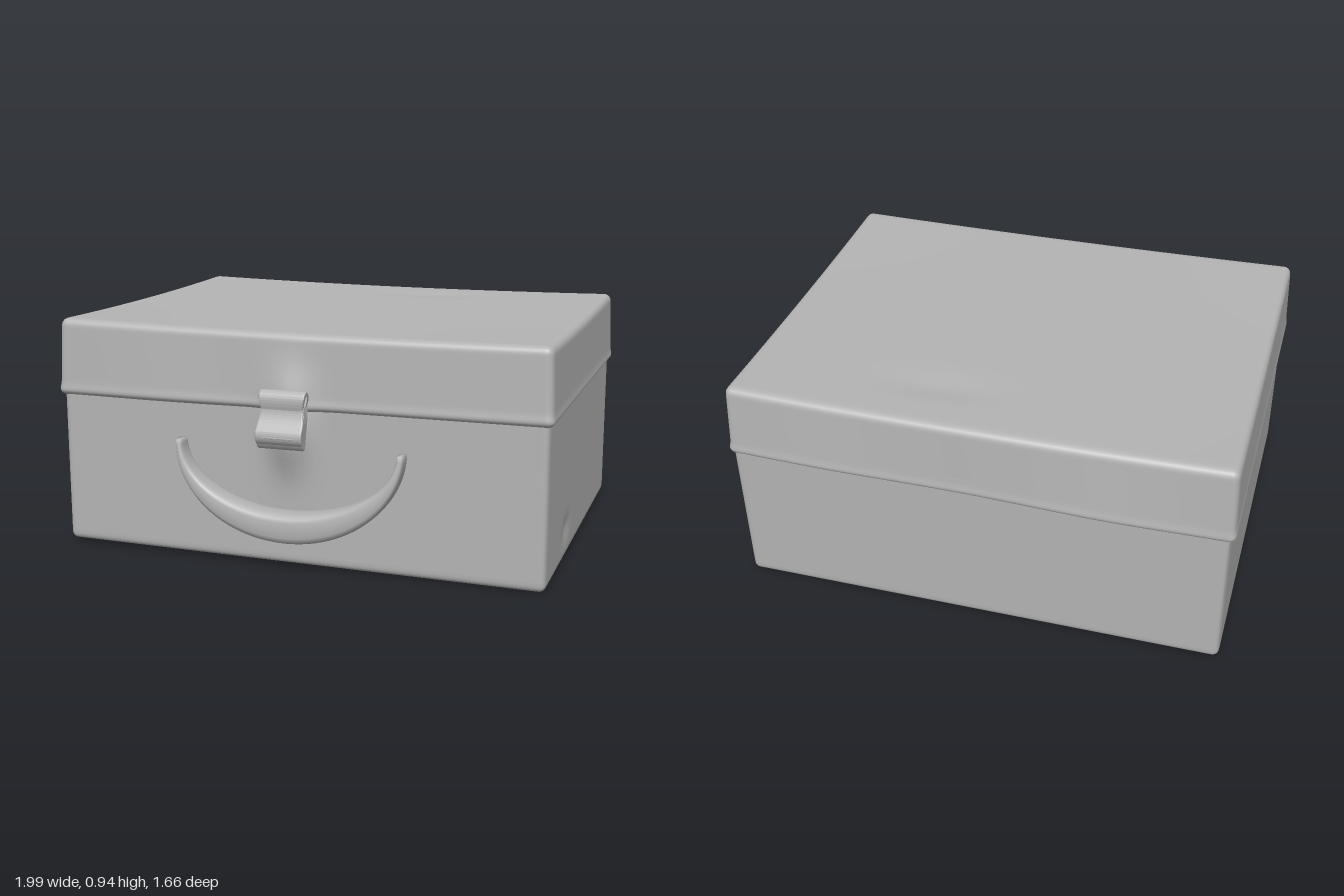
import * as THREE from 'three';
import { mergeVertices } from 'three/addons/utils/BufferGeometryUtils.js';

const grey = new THREE.MeshStandardMaterial({ color: 0xb4b4b4 });
grey.name = 'plain grey';

const bell = (v, centre, width) => Math.exp(-(((v - centre) / width) ** 2));

function addMesh(group, name, geometry) {
  const mesh = new THREE.Mesh(geometry, grey);
  mesh.name = name;
  group.add(mesh);
}

// Rounded box between two corners, dense near its edges, then bent by a rule
function softBox(min, max, r, bend) {
  const size = max.clone().sub(min);
  const mid = max.clone().add(min).multiplyScalar(0.5);
  const inner = size.clone().multiplyScalar(0.5).subScalar(r);
  let g = new THREE.BoxGeometry(2, 2, 2, 96, 32, 40);
  g.deleteAttribute('uv');
  g.deleteAttribute('normal');
  g = mergeVertices(g, 1e-5);
  const pos = g.attributes.position;
  const p = new THREE.Vector3();
  const core = new THREE.Vector3();
  for (let i = 0; i < pos.count; i++) {
    p.fromBufferAttribute(pos, i);
    p.set(...p.toArray().map((v) => Math.sin((v * Math.PI) / 2)));
    p.multiply(size).multiplyScalar(0.5);
    core.copy(p).clamp(inner.clone().negate(), inner);
    p.sub(core).setLength(r).add(core).add(mid);
    bend(p);
    pos.setXYZ(i, p.x, p.y, p.z);
  }
  g.computeVertexNormals();
  return g;
}

// Crescent handle: rounded sections swept along a half ellipse
function handleGeometry() {
  const steps = 48, around = 20, verts = [], index = [];
  const soft = (v) => Math.sign(v) * Math.abs(v) ** 0.6;
  for (let i = 0; i <= steps + 2; i++) {
    const t = (Math.PI * Math.min(Math.max(i - 1, 0), steps)) / steps;
    const closed = i === 0 || i === steps + 2 ? 0 : 1;
    const c = Math.cos(t), s = Math.sin(t);
    const back = 0.7, front = 0.77 + 0.05 * s;
    for (let j = 0; j < around; j++) {
      const a = (2 * Math.PI * j) / around;
      const k = closed * soft(Math.cos(a)), d = closed * soft(Math.sin(a));
      verts.push(
        (0.445 + 0.014 * k) * c - 0.005,
        0.49 - (0.31 + 0.06 * k) * s,
        (back + front) / 2 + ((front - back) / 2) * d
      );
      if (i < steps + 2) {
        const n = (j + 1) % around, o = i * around, q = o + around;
        index.push(o + j, o + n, q + j, o + n, q + n, q + j);
      }
    }
  }
  const g = new THREE.BufferGeometry();
  g.setAttribute('position', new THREE.Float32BufferAttribute(verts, 3));
  g.setIndex(index);
  g.computeVertexNormals();
  return g;
}

// Clasp: side profile with a loop at the top and a flap kicking outwards
function claspGeometry() {
  const half = 0.092;
  const shape = new THREE.Shape();
  shape.moveTo(0.785, 0.5);
  shape.quadraticCurveTo(0.765, 0.55, 0.752, 0.6);
  shape.quadraticCurveTo(0.73, 0.63, 0.735, 0.67);
  shape.quadraticCurveTo(0.745, 0.71, 0.768, 0.706);
  shape.quadraticCurveTo(0.8, 0.695, 0.785, 0.64);
  shape.quadraticCurveTo(0.79, 0.6, 0.825, 0.56);
  shape.quadraticCurveTo(0.835, 0.535, 0.815, 0.515);
  shape.quadraticCurveTo(0.8, 0.485, 0.785, 0.5);
  const hole = new THREE.Path();
  hole.absellipse(0.764, 0.667, 0.013, 0.024, 0, Math.PI * 2, true);
  shape.holes.push(hole);
  const g = new THREE.ExtrudeGeometry(shape, {
    depth: half * 2 - 0.012, bevelThickness: 0.006, bevelSize: 0.004, bevelSegments: 2, curveSegments: 8,
  });
  g.rotateY(-Math.PI / 2);
  g.translate(half - 0.006, 0, 0);
  // Narrow waist below the loop
  const pos = g.attributes.position;
  for (let i = 0; i < pos.count; i++) {
    const waist = 1 - 0.1 * bell(pos.getY(i), 0.64, 0.035);
    pos.setX(i, pos.getX(i) * waist - 0.013);
  }
  g.computeVertexNormals();
  return g;
}

export function createModel() {
  const group = new THREE.Group();
  group.name = 'case';

  // Lower body, with a raised tongue under the clasp and a small side dent
  addMesh(group, 'body', softBox(
    new THREE.Vector3(-0.978, 0, -0.8), new THREE.Vector3(0.978, 0.72, 0.708), 0.028,
    (p) => {
      const high = p.y / 0.72;
      if (p.z > 0.69) p.z += 0.06 * bell(p.x, -0.01, 0.075) * bell(p.y, 0.53, 0.14);
      if (p.z < -0.78) p.z -= 0.016 * high;
      if (p.x > 0.96) p.x -= 0.012 * bell(p.z, 0.26, 0.06) * bell(p.y, 0.12, 0.04);
      p.y += (1 - high) * (0.012 - 0.01 * p.x);
    }
  ));

  // Lid: slightly curled top, flared skirt and bulging front and back
  addMesh(group, 'lid', softBox(
    new THREE.Vector3(-0.982, 0.622, -0.805), new THREE.Vector3(0.982, 0.918, 0.71), 0.03,
    (p) => {
      const low = Math.max(0, (0.918 - p.y) / 0.296);
      const flare = 0.011 * low + 0.004 * bell(p.y, 0.64, 0.02);
      p.x *= 1 + flare;
      if (p.z > 0.67) {
        p.z += flare + 0.035 * bell(p.x, -0.01, 0.09) * bell(p.y, 0.66, 0.13);
        p.z += 0.008 * low * bell(p.x, -0.5, 0.3);
      }
      if (p.z < -0.76) p.z -= flare + low * (0.014 * bell(p.x, -0.5, 0.35) + 0.009 * bell(p.x, 0.6, 0.35));
      const top = 1 - low;
      p.y += top * (0.012 * p.x * p.x * p.z * p.z * 1.6 - 0.007 * p.x - 0.004 * p.z);
      if (p.y > 0.89) p.y -= 0.01 * bell(p.x, 0.2, 0.2) * bell(p.z, -0.56, 0.06);
    }
  ));

  addMesh(group, 'handle', handleGeometry());
  addMesh(group, 'clasp', claspGeometry());

  // Raised ridge across the clasp flap
  const ridge = new THREE.CapsuleGeometry(0.007, 0.13, 4, 10);
  ridge.rotateZ(Math.PI / 2);
  ridge.translate(-0.013, 0.54, 0.826);
  addMesh(group, 'claspRidge', ridge);

  return group;
}
